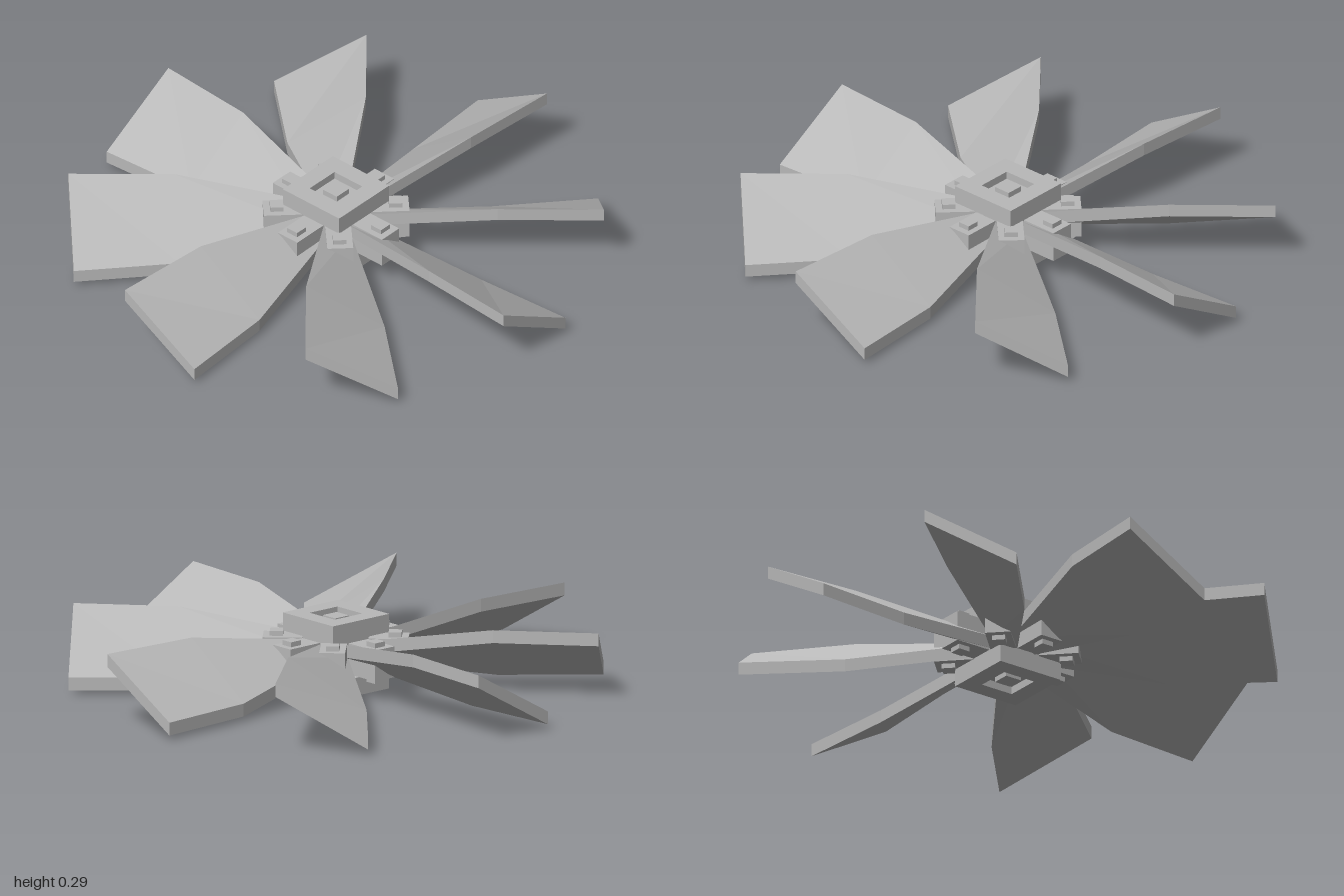
import * as THREE from 'three';

const MID = 0.145; // height of the rotor's middle plane

const grey = new THREE.MeshStandardMaterial({ color: 0xb8b8b8, flatShading: true });
grey.name = 'metal grey';

function box(name, w, h, d, x, y, z) {
  const mesh = new THREE.Mesh(new THREE.BoxGeometry(w, h, d), grey);
  mesh.name = name;
  mesh.position.set(x, y, z);
  return mesh;
}

// Pitched blade along +x, lofted through slanted cross-sections with upright edges
function bladeGeometry() {
  const sections = [
    { r: 0.1, w: 0.05, rise: 0.025 },
    { r: 0.6, w: 0.148, rise: 0.1 },
    { r: 1.0, w: 0.175, rise: 0.1 },
  ].map(({ r, w, rise }) => [
    [r, rise + 0.025, w],
    [r, -rise + 0.025, -w],
    [r, -rise - 0.025, -w],
    [r, rise - 0.025, w],
  ]);
  const pts = [];
  for (let i = 0; i < sections.length - 1; i++) {
    const p = sections[i], q = sections[i + 1];
    for (let k = 0; k < 4; k++) {
      const n = (k + 1) % 4;
      pts.push(p[k], q[k], p[n], q[k], q[n], p[n]);
    }
  }
  const root = sections[0], tip = sections[sections.length - 1];
  pts.push(root[0], root[1], root[2], root[0], root[2], root[3]);
  pts.push(tip[0], tip[2], tip[1], tip[0], tip[3], tip[2]);
  const geo = new THREE.BufferGeometry();
  geo.setAttribute('position', new THREE.Float32BufferAttribute(pts.flat(), 3));
  geo.computeVertexNormals();
  return geo;
}

function square(PathType, half) {
  return new PathType().moveTo(-half, -half).lineTo(half, -half)
    .lineTo(half, half).lineTo(-half, half).closePath();
}

// Square cap with a square recess and a stud inside it
function hubCap() {
  const cap = new THREE.Group();
  cap.add(box('capPlate', 0.284, 0.04, 0.284, 0, 0.095, 0));
  const shape = square(THREE.Shape, 0.142);
  shape.holes.push(square(THREE.Path, 0.07));
  const rimGeo = new THREE.ExtrudeGeometry(shape, { depth: 0.03, bevelEnabled: false });
  rimGeo.rotateX(-Math.PI / 2);
  const rim = new THREE.Mesh(rimGeo, grey);
  rim.name = 'capRim';
  rim.position.y = 0.115;
  cap.add(rim, box('capStud', 0.07, 0.022, 0.07, 0, 0.126, 0));
  return cap;
}

export function createModel() {
  const model = new THREE.Group();
  model.name = 'fanRotor';

  // Hub: core with a matching cap above and below
  const hub = new THREE.Group();
  hub.name = 'hub';
  hub.position.y = MID;
  hub.add(box('hubCore', 0.2, 0.15, 0.2, 0, 0, 0));
  const topCap = hubCap();
  topCap.name = 'topCap';
  const bottomCap = hubCap();
  bottomCap.name = 'bottomCap';
  bottomCap.rotation.x = Math.PI;
  hub.add(topCap, bottomCap);
  model.add(hub);

  // Eight arms: blade, root clamp and a stud on each side of the clamp
  const bladeGeo = bladeGeometry();
  for (let i = 0; i < 8; i++) {
    const arm = new THREE.Group();
    arm.name = `arm${i + 1}`;
    arm.position.y = MID;
    arm.rotation.y = (i * Math.PI) / 4;
    const blade = new THREE.Mesh(bladeGeo, grey);
    blade.name = 'blade';
    arm.add(blade, box('clamp', 0.15, 0.12, 0.098, 0.2, 0, 0));
    for (const s of [1, -1]) {
      arm.add(box('clampStud', 0.05, 0.02, 0.05, 0.224, s * 0.069, 0));
    }
    model.add(arm);
  }
  return model;
}
